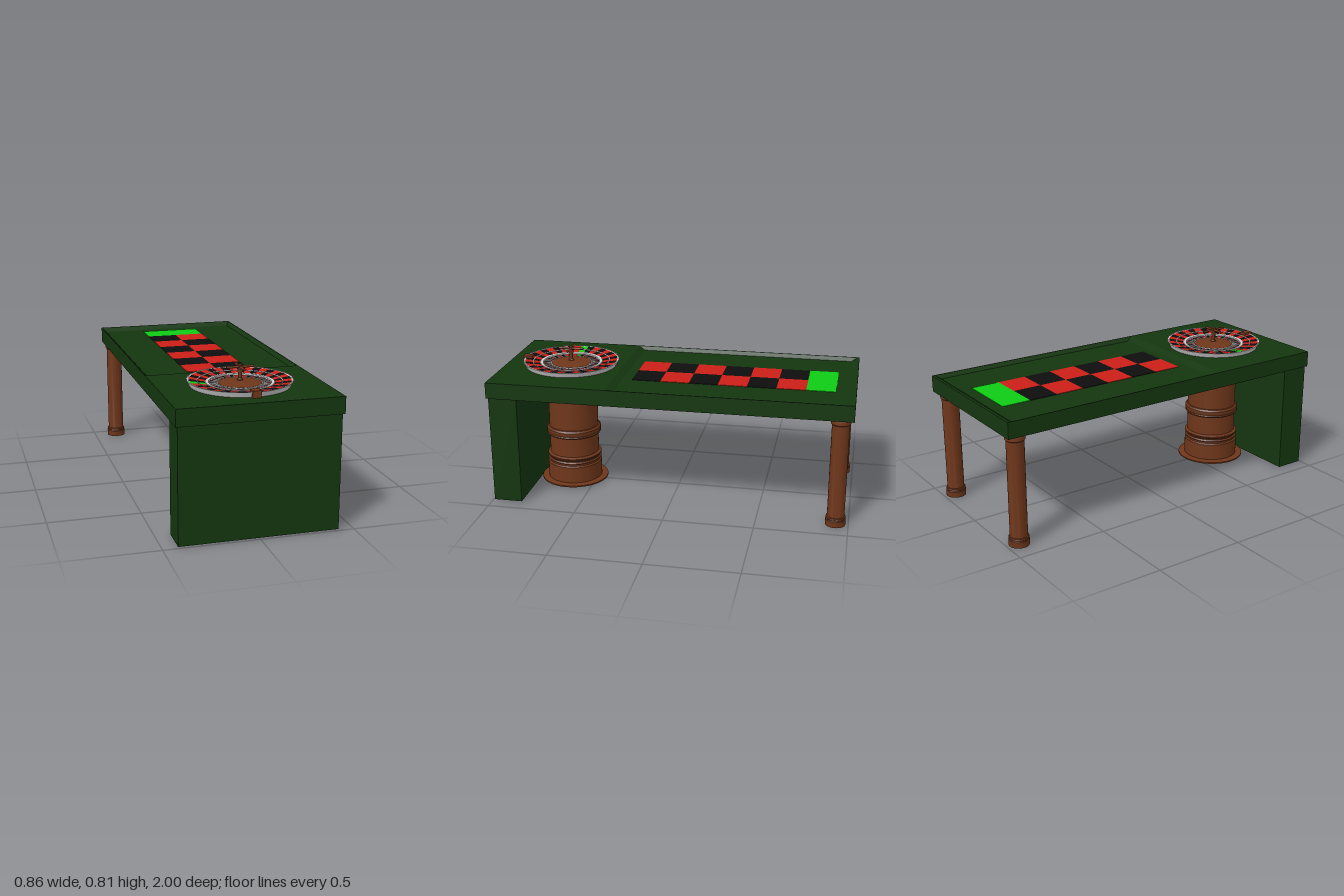
import * as THREE from 'three';
import { mergeGeometries, toCreasedNormals } from 'three/addons/utils/BufferGeometryUtils.js';

const mat = (color) => new THREE.MeshStandardMaterial({ color, side: THREE.DoubleSide });
const felt = mat(0x14350f), wood = mat(0x6e361a), red = mat(0xcc1f17);
const black = mat(0x0d0d0d), lime = mat(0x0fcc14), metal = mat(0xcccccc);
const WHEEL_Z = 0.633;

function add(parent, name, geometry, material, x = 0, y = 0, z = 0) {
  const mesh = new THREE.Mesh(geometry, material);
  mesh.name = name;
  mesh.position.set(x, y, z);
  parent.add(mesh);
  return mesh;
}

// Turned part from [radius, height] pairs, listed bottom to top along the outside
function turned(profile, segments = 40) {
  const pts = profile.map(([r, y]) => new THREE.Vector2(r, y));
  return toCreasedNormals(new THREE.LatheGeometry(pts, segments), 0.5);
}

// Rectangular loops [halfWidth, zMin, zMax, y] joined in order and capped at both ends
function loftRects(loops) {
  const pos = [], index = [];
  for (const [w, z0, z1, y] of loops) pos.push(-w, y, z1, w, y, z1, w, y, z0, -w, y, z0);
  for (let i = 0; i < loops.length - 1; i++) {
    for (let k = 0; k < 4; k++) {
      const a = i * 4 + k, b = i * 4 + (k + 1) % 4;
      index.push(a, b, b + 4, a, b + 4, a + 4);
    }
  }
  const t = (loops.length - 1) * 4;
  index.push(0, 2, 1, 0, 3, 2, t, t + 1, t + 2, t, t + 2, t + 3);
  const geo = new THREE.BufferGeometry();
  geo.setAttribute('position', new THREE.Float32BufferAttribute(pos, 3));
  geo.setIndex(index);
  const flat = geo.toNonIndexed();
  flat.computeVertexNormals();
  return flat;
}

function createTable() {
  const table = new THREE.Group();
  table.name = 'table';
  // Slab with a shallow, bevelled playing recess
  add(table, 'tableTop', loftRects([
    [0.43, -1, 1, 0.615], [0.43, -1, 1, 0.705],
    [0.425, -0.985, 0.33, 0.705], [0.405, -0.955, 0.29, 0.685],
  ]), felt);
  add(table, 'frontPanel', new THREE.BoxGeometry(0.84, 0.611, 0.16), felt, 0, 0.3095, 0.91);

  // Rear legs with foot and capital
  const leg = turned([
    [0, 0], [0.055, 0], [0.055, 0.034], [0.052, 0.038], [0.054, 0.044], [0.052, 0.05], [0.047, 0.052],
    [0.047, 0.58], [0.053, 0.585], [0.054, 0.6], [0.05, 0.615], [0, 0.615],
  ], 28);
  for (const side of [-1, 1]) add(table, side > 0 ? 'leftLeg' : 'rightLeg', leg, wood, side * 0.365, 0, -0.93);

  // Hollow turned pedestal under the wheel
  add(table, 'pedestal', turned([
    [0, 0.13], [0.128, 0.13], [0.128, 0.06], [0.148, 0.05], [0.155, 0.008], [0.195, 0.008], [0.195, 0.016],
    [0.158, 0.02], [0.158, 0.115], [0.15, 0.122], [0.15, 0.132], [0.157, 0.138], [0.15, 0.146],
    [0.15, 0.152], [0.158, 0.161], [0.158, 0.167], [0.143, 0.175], [0.143, 0.288],
    [0.154, 0.29], [0.159, 0.298], [0.155, 0.304], [0.158, 0.31], [0.158, 0.328], [0.15, 0.338],
    [0.143, 0.34], [0.143, 0.615],
  ], 48), wood, 0, 0, WHEEL_Z);
  return table;
}

function createBettingLayout() {
  const layout = new THREE.Group();
  layout.name = 'bettingLayout';
  const w = 0.1725, d = 0.161, y = 0.686;
  const tile = new THREE.BoxGeometry(w, 0.003, d);
  add(layout, 'greenField', new THREE.BoxGeometry(w * 2, 0.003, d), lime, -0.0025, y, -0.81);
  for (let row = 0; row < 6; row++) {
    for (let col = 0; col < 2; col++) {
      const isRed = (row + col) % 2 === 1;
      add(layout, isRed ? 'redField' : 'blackField', tile, isRed ? red : black,
        -0.0025 + (col - 0.5) * w, y, -0.81 + (row + 1) * d);
    }
  }
  return layout;
}

function createWheel() {
  const wheel = new THREE.Group();
  wheel.name = 'wheel';
  wheel.position.set(0, 0.705, WHEEL_Z);
  const pockets = 37, step = Math.PI * 2 / pockets;

  // Metal dish with raised rings between the bands
  add(wheel, 'dish', turned([
    [0.262, 0], [0.275, 0.028], [0.268, 0.028], [0.264, 0.025], [0.222, 0.019], [0.221, 0.022],
    [0.217, 0.021], [0.216, 0.017], [0.18, 0.012], [0.178, 0.016], [0.162, 0.015], [0.159, 0.007],
    [0.121, 0.005], [0.119, 0.01], [0.114, 0.01], [0.112, 0.004],
  ], pockets), metal);

  // Coloured sectors, three bands per pocket: [outer r, y, inner r, y]
  const bands = [[0.264, 0.0265, 0.222, 0.0205], [0.216, 0.0185, 0.18, 0.0135], [0.159, 0.0085, 0.122, 0.0065]];
  const sectors = { green: [], red: [], black: [] };
  for (let i = 0; i < pockets; i++) {
    const key = i === 0 ? 'green' : i % 2 ? 'red' : 'black';
    const start = Math.PI * 1.5 - step / 2 - 0.03 + i * step;
    for (const [r0, y0, r1, y1] of bands) {
      const pts = [new THREE.Vector2(r0, y0), new THREE.Vector2(r1, y1)];
      sectors[key].push(new THREE.LatheGeometry(pts, 2, start, step));
    }
  }
  const paint = { green: lime, red, black };
  for (const key in sectors) add(wheel, key + 'Pockets', mergeGeometries(sectors[key]), paint[key]);

  // Thin dividers between the inner pockets
  const frets = [];
  for (let i = 0; i < pockets; i++) {
    const fret = new THREE.BoxGeometry(0.003, 0.006, 0.038);
    fret.translate(0, 0.009, 0.14);
    frets.push(fret.rotateY(Math.PI * 1.5 - step / 2 - 0.03 + i * step));
  }
  add(wheel, 'pocketDividers', mergeGeometries(frets), metal);

  // Wooden cone and turned spindle
  add(wheel, 'cone', turned([[0.115, 0.004], [0.112, 0.01], [0.06, 0.016], [0.018, 0.022], [0, 0.022]]), wood);
  add(wheel, 'spindle', turned([
    [0.016, 0.018], [0.015, 0.028], [0.01, 0.034], [0.01, 0.058], [0.0125, 0.066], [0.0125, 0.08],
    [0.009, 0.084], [0.009, 0.098], [0.0125, 0.1], [0.0125, 0.104], [0.007, 0.107], [0, 0.107],
  ], 16), wood);

  // Crossed handle bars
  const bar = new THREE.CylinderGeometry(0.0065, 0.0065, 0.147, 12);
  add(wheel, 'handleBarAcross', bar, wood, 0, 0.092, 0).rotation.z = Math.PI / 2;
  add(wheel, 'handleBarAlong', bar, wood, 0, 0.092, 0).rotation.x = Math.PI / 2;
  return wheel;
}

export function createModel() {
  const model = new THREE.Group();
  model.name = 'rouletteTable';
  model.add(createTable(), createBettingLayout(), createWheel());
  // Small block at the front edge of the wheel
  add(model, 'markerBlock', new THREE.BoxGeometry(0.044, 0.038, 0.052), wood, 0, 0.723, 0.891);
  return model;
}
